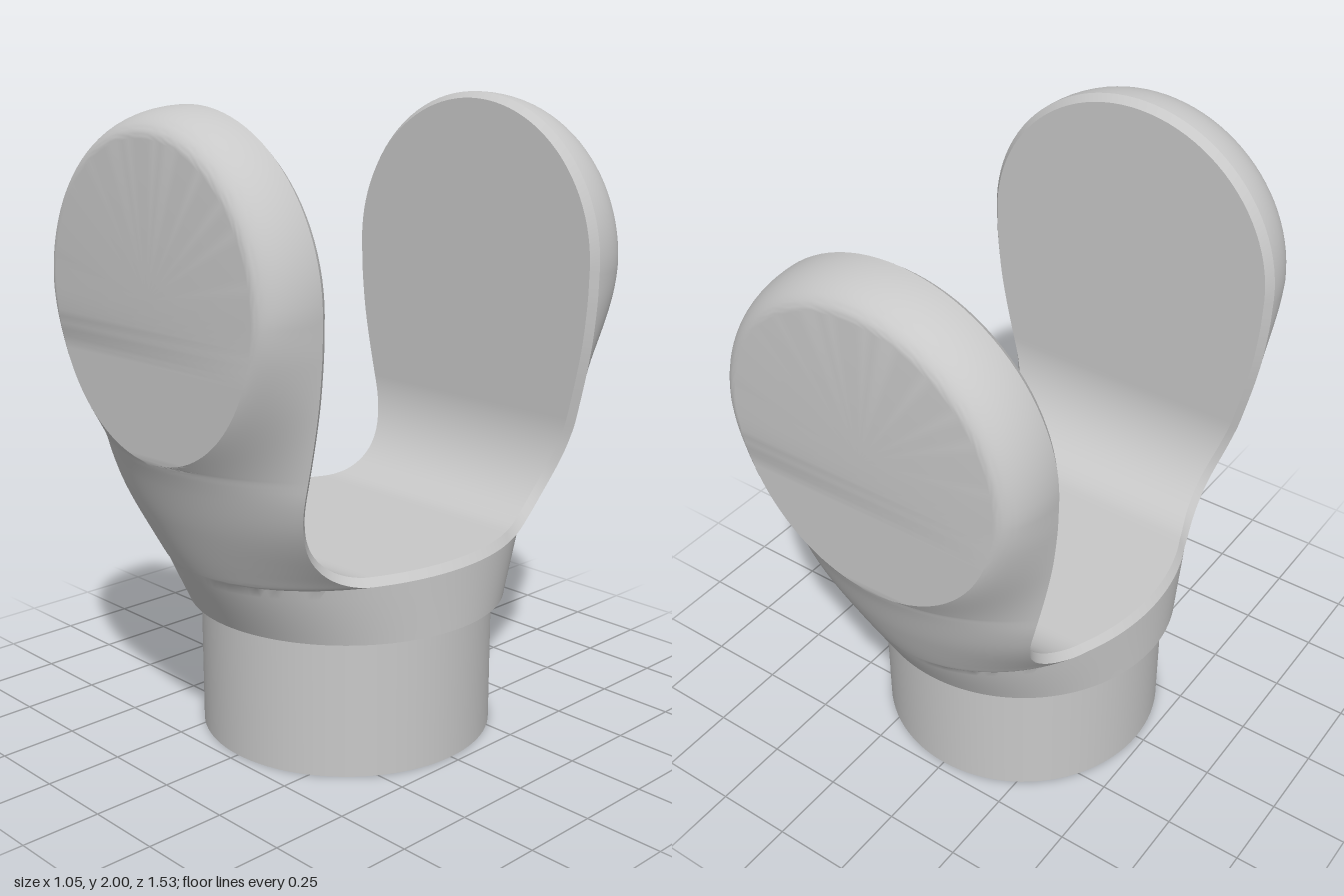
import * as THREE from 'three';
import { mergeGeometries, toCreasedNormals } from 'three/addons/utils/BufferGeometryUtils.js';

const RAD = Math.PI / 180;
const BASE_Y = 0.445, BASE_R = 0.51;
const DOME_Y = 1.475, WIDTH = 0.525, FLAT = 0.44, INNER_Z = 0.565, OUTER_Z = 0.765, CHAMFER = 0.025;
const RIM_Y = 0.635, FLOOR_A = 0.505, FLOOR_B = 0.615;

// Smooth interpolation through [key, value] pairs
function curve(pts) {
  const slope = (i) => {
    const a = pts[Math.max(i - 1, 0)], b = pts[Math.min(i + 1, pts.length - 1)];
    return (b[1] - a[1]) / (b[0] - a[0]);
  };
  return (y) => {
    let i = 0;
    while (i < pts.length - 2 && y > pts[i + 1][0]) i++;
    const [y0, v0] = pts[i], [y1, v1] = pts[i + 1], h = y1 - y0;
    const t = THREE.MathUtils.clamp((y - y0) / h, 0, 1), s = t * t, c = s * t;
    return v0 * (2 * c - 3 * s + 1) + slope(i) * h * (c - 2 * s + t)
      + v1 * (3 * s - 2 * c) + slope(i + 1) * h * (c - s);
  };
}

// Half width along the arm: 0 to 1 round the fillet, 1 to 2 up the straight part
const armWidth = curve([[0, 0.441], [0.25, 0.405], [0.44, 0.394], [0.61, 0.402], [0.83, 0.431],
  [1, 0.456], [1.44, 0.503], [1.75, 0.521], [1.99, WIDTH]]);
const armReach = curve([[BASE_Y, BASE_R], [RIM_Y, FLOOR_B], [0.8, 0.687], [0.95, 0.742], [1.005, OUTER_Z], [1.1, 0.8], [DOME_Y, 0.9]]);
const armSweep = curve([[RIM_Y, 60.8], [0.68, 48], [0.75, 40], [0.98, 40], [1.2, 62], [DOME_Y, 90]]);
const flatWidth = (y) => FLAT * Math.sqrt(Math.max(0, 1 - ((DOME_Y - y) / 0.47) ** 2));

// Skin over rows of [x, y, z] points
function loft(rows, flip = false) {
  const n = rows[0].length, index = [];
  for (let r = 0; r < rows.length - 1; r++) {
    for (let c = 0; c < n - 1; c++) {
      const a = r * n + c, b = a + 1, d = a + n, e = d + 1;
      index.push(...(flip ? [a, e, b, a, d, e] : [a, b, e, a, e, d]));
    }
  }
  const g = new THREE.BufferGeometry();
  g.setAttribute('position', new THREE.Float32BufferAttribute(rows.flat(2), 3));
  g.setIndex(index);
  return g;
}

// Inner face with its chamfered edges
const innerRow = (w, y, z, ny, nz) => [
  [-w, y + ny * CHAMFER, z + nz * CHAMFER], [-w + 0.02, y, z],
  [w - 0.02, y, z], [w, y + ny * CHAMFER, z + nz * CHAMFER]];

// Outer face: flat middle with curved flanks running to the rim
function outerRow(w, y, rimZ) {
  const f = flatWidth(y), zo = Math.min(OUTER_Z, armReach(y)), end = armSweep(y) * RAD;
  const start = (1 - THREE.MathUtils.smoothstep(y, 1, DOME_Y)) * Math.asin(f / w * Math.sin(end));
  const flank = [];
  for (let i = 0; i <= 20; i++) {
    const t = start + (end - start) * i / 20;
    flank.push([f + (w - f) * (Math.sin(t) - Math.sin(start)) / (Math.sin(end) - Math.sin(start)), y,
      zo - (zo - rimZ) * (Math.cos(start) - Math.cos(t)) / (Math.cos(start) - Math.cos(end))]);
  }
  return [...flank.map(([x, h, z]) => [-x, h, z]).reverse(), ...flank];
}

function halfYoke() {
  const inner = [], outer = [], collar = [];
  // Saddle floor
  for (let i = 0; i < 10; i++) {
    const z = 0.03 * i;
    inner.push(innerRow(FLOOR_A * Math.sqrt(1 - (z / FLOOR_B) ** 2), RIM_Y + CHAMFER, z, -1, 0));
  }
  const floorRows = inner.slice();

  // Fillet from floor to arm, then the straight arm
  const addArm = (w, y, z, ny, nz) => {
    inner.push(innerRow(w, y, z, ny, nz));
    outer.push(outerRow(w, y + ny * CHAMFER, z + nz * CHAMFER));
  };
  for (let i = 0; i <= 24; i++) {
    const t = i / 24 * Math.PI / 2, s = Math.sin(t), c = Math.cos(t);
    addArm(armWidth(i / 24), 0.98 - 0.32 * c, 0.3 + (INNER_Z - 0.3) * s, -c, s);
  }
  for (let i = 1; i <= 36; i++) {
    const rise = (DOME_Y - 0.98) * (i / 36) ** 1.5;
    addArm(armWidth(1 + rise / 0.5), 0.98 + rise, INNER_Z, 0, 1);
  }

  // Collar flaring from a circle to the saddle outline
  const outline = [...floorRows.map((r) => r[0]), ...outer[0], ...floorRows.map((r) => r[3]).reverse()];
  for (let k = 0; k <= 6; k++) {
    const t = k / 6, y = BASE_Y + (RIM_Y - BASE_Y) * t;
    const sx = (BASE_R + (FLOOR_A - BASE_R) * t) / FLOOR_A, sz = armReach(y) / FLOOR_B;
    collar.push(outline.map(([x, , z]) => [x * sx, y, z * sz]));
  }

  // Rounded arm end: half a turned disc
  const profile = [new THREE.Vector2(0, OUTER_Z)], rim = INNER_Z + CHAMFER;
  for (let i = 0; i <= 20; i++) {
    const t = i / 20 * Math.PI / 2;
    profile.push(new THREE.Vector2(FLAT + (WIDTH - FLAT) * Math.sin(t), rim + (OUTER_Z - rim) * Math.cos(t)));
  }
  profile.push(new THREE.Vector2(WIDTH - 0.02, INNER_Z), new THREE.Vector2(0, INNER_Z));
  const dome = new THREE.LatheGeometry(profile.reverse(), 48, Math.PI / 2, Math.PI)
    .rotateX(Math.PI / 2).translate(0, DOME_Y, 0);
  dome.deleteAttribute('uv');
  dome.deleteAttribute('normal');

  return [loft(inner, true), loft(outer), loft(collar), dome];
}

export function createModel() {
  const group = new THREE.Group();
  const grey = new THREE.MeshStandardMaterial({ color: 0xc8c8c8 });
  grey.name = 'plain grey';

  // Yoke: two matching halves, back to back, with a flat underside
  const underside = new THREE.CircleGeometry(BASE_R, 128).rotateX(Math.PI / 2).translate(0, BASE_Y, 0);
  underside.deleteAttribute('uv');
  underside.deleteAttribute('normal');
  const parts = [...halfYoke(), ...halfYoke().map((g) => g.rotateY(Math.PI)), underside];
  const yoke = new THREE.Mesh(toCreasedNormals(mergeGeometries(parts), 28 * RAD), grey);
  yoke.name = 'yoke';

  // Round mounting stem
  const stem = new THREE.Mesh(new THREE.CylinderGeometry(0.47, 0.47, BASE_Y, 96).translate(0, BASE_Y / 2, 0), grey);
  stem.name = 'stem';

  group.add(yoke, stem);
  return group;
}
